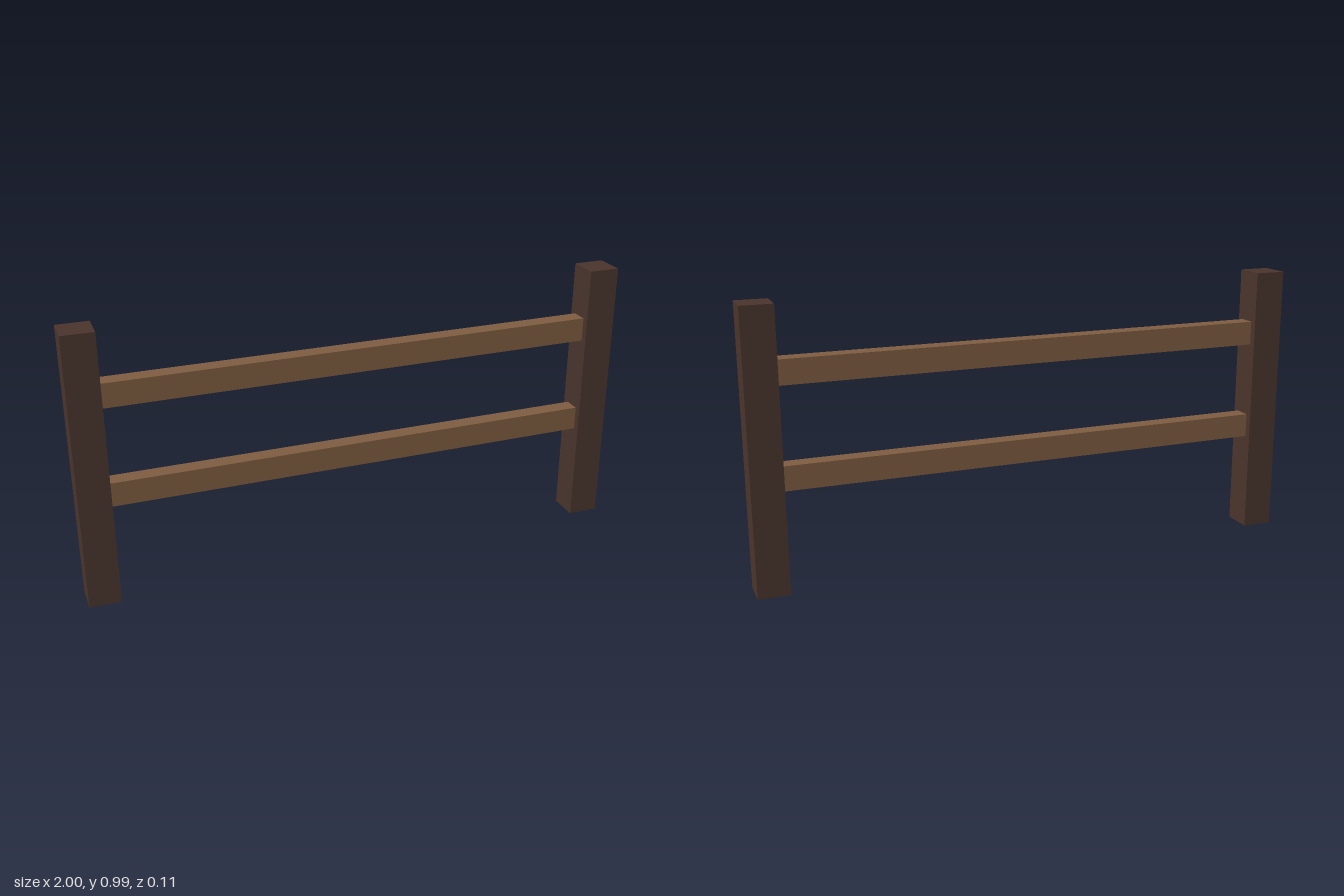
import * as THREE from 'three';

const POST_WIDTH = 0.112;
const POST_HEIGHT = 0.992;
const RAIL_HEIGHT = 0.087;
const RAIL_DEPTH = 0.061;

export function createModel() {
  const fence = new THREE.Group();
  fence.name = 'fence';

  const darkWood = new THREE.MeshStandardMaterial({ color: 0x4a352d });
  darkWood.name = 'darkWood';
  const lightWood = new THREE.MeshStandardMaterial({ color: 0x7f5d40 });
  lightWood.name = 'lightWood';

  const addBeam = (name, size, position, material) => {
    const beam = new THREE.Mesh(new THREE.BoxGeometry(...size), material);
    beam.name = name;
    beam.position.set(...position);
    fence.add(beam);
  };

  // Square posts at both ends
  const postX = 1 - POST_WIDTH / 2;
  for (const [name, side] of [['leftPost', 1], ['rightPost', -1]]) {
    addBeam(name, [POST_WIDTH, POST_HEIGHT, POST_WIDTH], [side * postX, POST_HEIGHT / 2, 0], darkWood);
  }

  // Two rails spanning between the posts
  const railLength = 2 * (1 - POST_WIDTH);
  for (const [name, y] of [['lowerRail', 0.403], ['upperRail', 0.763]]) {
    addBeam(name, [railLength, RAIL_HEIGHT, RAIL_DEPTH], [0, y, 0], lightWood);
  }

  return fence;
}
